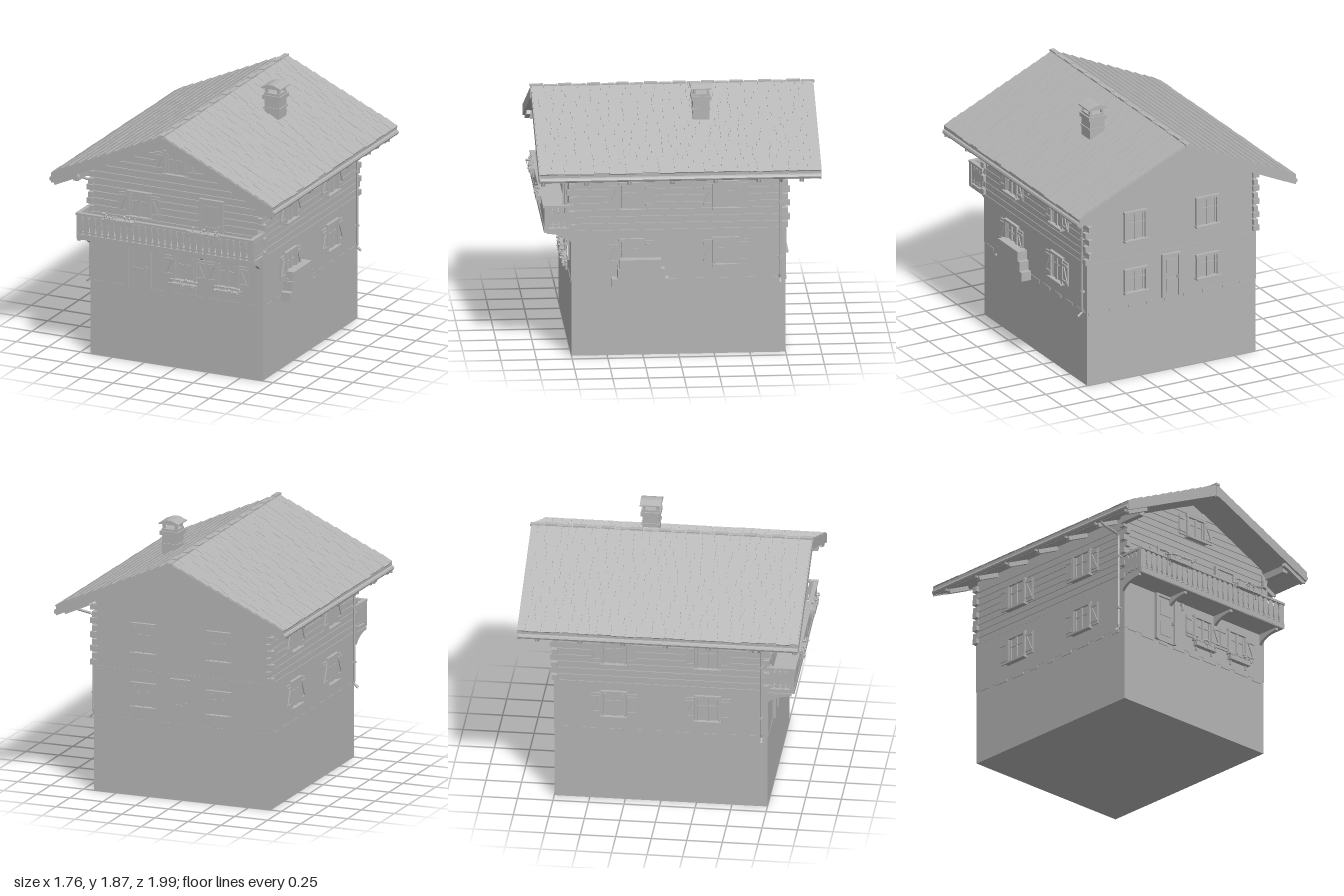
import * as THREE from 'three';
import { mergeGeometries } from 'three/addons/utils/BufferGeometryUtils.js';

const grey = new THREE.MeshStandardMaterial({ color: 0xb4b4b4, flatShading: true });
grey.name = 'plainGrey';

let seed = 7;
const rnd = () => (seed = (seed * 16807) % 2147483647) / 2147483647;

const RIDGE = 1.768, EAVE_X = 0.86, SLOPE = 0.455, UNDER = 1.70;

function add(parent, name, geo, x = 0, y = 0, z = 0) {
  const m = new THREE.Mesh(geo, grey);
  m.name = name;
  m.position.set(x, y, z);
  parent.add(m);
  return m;
}
const box = (p, name, w, h, d, x, y, z) => add(p, name, new THREE.BoxGeometry(w, h, d), x, y, z);
function group(parent, name, x = 0, y = 0, z = 0, ry = 0) {
  const g = new THREE.Group();
  g.name = name;
  g.position.set(x, y, z);
  g.rotation.y = ry;
  parent.add(g);
  return g;
}
function prism(points, depth) {
  const s = new THREE.Shape(points.map(([x, y]) => new THREE.Vector2(x, y)));
  return new THREE.ExtrudeGeometry(s, { depth, bevelEnabled: false, curveSegments: 6 });
}

// Window facing +z, centred on its group; optional shutters laid against the wall
function windowUnit(parent, name, x, y, z, ry, shutters, h = 0.18) {
  const g = group(parent, name, x, y, z, ry), w = 0.17;
  box(g, 'pane', w, h, 0.006, 0, 0, 0.003);
  for (const s of [-1, 1]) {
    box(g, 'frameSide', 0.018, h, 0.024, s * (w / 2 - 0.003), 0, 0.01);
    box(g, 'sash', 0.012, h - 0.03, 0.014, s * 0.062, 0, 0.008);
  }
  box(g, 'frameTop', w + 0.016, 0.018, 0.026, 0, h / 2, 0.01);
  box(g, 'sill', w + 0.022, 0.014, 0.04, 0, -h / 2, 0.018);
  box(g, 'mullion', 0.016, h, 0.016, 0, 0, 0.008);
  box(g, 'glazingBar', w, 0.007, 0.012, 0, 0.025, 0.007);
  if (!shutters) return;
  for (const s of [-1, 1]) {
    const sh = group(g, 'shutter', s * 0.127, 0, 0.008);
    box(sh, 'leaf', 0.066, h - 0.02, 0.01, 0, 0, 0);
    for (const b of [-1, 1]) box(sh, 'batten', 0.062, 0.014, 0.01, 0, b * (h / 2 - 0.035), 0.008);
    box(sh, 'brace', 0.012, h - 0.06, 0.008, 0, 0, 0.008).rotation.z = s * 0.42;
  }
}

function door(parent, name, x, y, z, ry, w, h) {
  const g = group(parent, name, x, y, z, ry);
  box(g, 'leaf', w, h, 0.012, 0, h / 2, 0.004);
  for (const s of [-1, 1]) box(g, 'jamb', 0.018, h, 0.028, s * w / 2, h / 2, 0.01);
  box(g, 'lintel', w + 0.018, 0.018, 0.028, 0, h - 0.005, 0.01);
  for (const p of [0.28, 0.72]) box(g, 'panel', w * 0.6, h * 0.3, 0.008, 0, h * p, 0.011);
  box(g, 'handle', 0.008, 0.025, 0.02, w * 0.36, h * 0.45, 0.018);
}

// Planter with stems, leaves and blossoms
function planter(parent, x, y, z, w = 0.19) {
  const g = group(parent, 'planter', x, y, z);
  box(g, 'trough', w, 0.035, 0.035, 0, 0, 0);
  for (const s of [-1, 1]) box(g, 'hook', 0.008, 0.06, 0.012, s * w * 0.38, -0.02, -0.012);
  const parts = [];
  for (let i = 0; i < 18; i++) {
    const px = (rnd() - 0.5) * (w + 0.05), py = 0.005 + rnd() * 0.045, pz = (rnd() - 0.3) * 0.04;
    parts.push(new THREE.IcosahedronGeometry(0.006 + rnd() * 0.005, 0).translate(px, py, pz));
    parts.push(new THREE.BoxGeometry(0.003, 0.035, 0.003).rotateZ(rnd() - 0.5).translate(px, py - 0.015, pz));
  }
  add(g, 'flowers', mergeGeometries(parts.map(p => p.toNonIndexed ? (p.index ? p.toNonIndexed() : p) : p)));
}

function buildWalls(house) {
  box(house, 'basement', 1.34, 0.55, 1.5, 0, 0.275, 0);
  box(house, 'groundFloor', 1.344, 0.36, 1.506, 0, 0.73, 0);
  const eaveY = UNDER - SLOPE * 0.66;
  add(house, 'upperFloor', prism([[-0.66, 0.91], [0.66, 0.91], [0.66, eaveY], [0, UNDER], [-0.66, eaveY]], 1.495), 0, 0, -0.75);
  // Uneven stones along the foot of the plaster
  for (let i = 0; i < 9; i++) {
    const t = -0.6 + i * 0.15, drop = 0.012 + rnd() * 0.018;
    for (const s of [-1, 1]) {
      box(house, 'footStone', 0.06 + rnd() * 0.07, drop, 0.012, t, 0.552 - drop / 2, s * 0.75);
      box(house, 'footStone', 0.012, drop, 0.06 + rnd() * 0.07, s * 0.67, 0.552 - drop / 2, t * 1.1);
    }
  }
  // Log courses on the front and the sides, with crossing ends at the corners
  const logs = group(house, 'logWalls'), pitch = 0.05;
  for (let i = 0; i < 15; i++) {
    const y0 = 0.912 + i * pitch, y1 = y0 + 0.046;
    const half = y => Math.min(0.67, Math.max(0.005, (UNDER - y) / SLOPE));
    add(logs, 'frontLog', prism([[-half(y0), y0], [half(y0), y0], [half(y1), y1], [-half(y1), y1]], 0.02), 0, 0, 0.736);
    if (i > 8) continue;
    for (const s of [-1, 1]) {
      box(logs, 'sideLog', 0.02, 0.046, 1.5, s * 0.66, y0 + 0.023, 0);
      for (const e of [-1, 1]) {
        if (i % 2) box(logs, 'sideLogEnd', 0.032, 0.04, 0.05, s * 0.658, y0 + 0.023, e * 0.756);
        else box(logs, 'crossLogEnd', 0.05, 0.04, 0.042, s * 0.668, y0 + 0.023, e * 0.746);
      }
    }
  }
}

function buildRoof(house) {
  const roof = group(house, 'roof'), drop = SLOPE * EAVE_X;
  add(roof, 'roofSlab', prism([[-EAVE_X, RIDGE - drop], [-EAVE_X, UNDER - drop + 0.006], [0, UNDER],
    [EAVE_X, UNDER - drop + 0.006], [EAVE_X, RIDGE - drop], [0, RIDGE]], 1.96), 0, 0, -0.98);
  const angle = Math.atan(SLOPE), len = EAVE_X / Math.cos(angle), rows = 12, step = len / rows;
  for (const s of [-1, 1]) {
    // Overlapping rows of split shingles with ragged lower edges
    const parts = [];
    for (let r = 0; r < rows; r++) {
      for (let z = -0.985; z < 0.98;) {
        let w = 0.05 + rnd() * 0.07;
        if (z + w > 0.95) w = 0.985 - z;
        const l = step + 0.012 + rnd() * 0.012, t = 0.007 + rnd() * 0.004;
        const b = new THREE.BoxGeometry(l, t, w - 0.003);
        b.rotateZ(-0.09).translate(r * step + l / 2 - (r === rows - 1 ? 0.014 : 0), 0.006, z + w / 2);
        parts.push(b);
        z += w;
      }
    }
    const geo = mergeGeometries(parts);
    geo.rotateZ(-angle);
    if (s < 0) geo.rotateY(Math.PI);
    add(roof, 'shingles', geo, 0, RIDGE, 0);
    // Barge boards on both gables
    for (const e of [-1, 1]) {
      const top = RIDGE + 0.006, x = s * EAVE_X;
      const pts = [[0, top], [x, top - drop], [x, UNDER - drop], [0, UNDER - 0.004]];
      add(roof, 'bargeBoard', prism(pts, 0.016), 0, 0, e * 0.982 - 0.008);
    }
    // Gutter, its brackets and rafter tails
    const gutter = new THREE.CylinderGeometry(0.018, 0.018, 1.97, 8).rotateX(Math.PI / 2);
    add(roof, 'gutter', gutter, s * 0.86, 1.335, 0);
    for (let i = 0; i < 7; i++) {
      const z = 0.96 - i * 0.302;
      box(roof, 'gutterBracket', 0.03, 0.03, 0.014, s * 0.855, 1.318, z);
      box(roof, 'rafterTail', 0.2, 0.03, 0.03, s * 0.755, UNDER - SLOPE * 0.755 - 0.012, z).rotation.z = -s * angle;
    }
    box(roof, 'eavePurlin', 0.04, 0.05, 0.2, s * 0.69, 1.36, 0.85);
    // Downpipe at opposite corners
    const path = [[0.86, 1.32], [0.84, 1.295], [0.7, 1.27], [0.69, 1.25], [0.69, 0.57], [0.685, 0.55], [0.72, 0.52]]
      .map(([x, y]) => new THREE.Vector3(s * x, y, -s * 0.71));
    const curve = new THREE.CatmullRomCurve3(path, false, 'catmullrom', 0.05);
    add(house, 'downpipe', new THREE.TubeGeometry(curve, 40, 0.009, 6));
    for (const y of [0.7, 1.1]) box(house, 'pipeClip', 0.03, 0.012, 0.026, s * 0.685, y, -s * 0.71);
  }
  box(roof, 'ridgePost', 0.022, 0.08, 0.02, 0, 1.725, 0.985);
  // Ridge caps
  for (let i = 0; i < 20; i++) {
    box(roof, 'ridgeCap', 0.034, 0.016, 0.092, 0, RIDGE + 0.005 + (i % 2) * 0.006, -0.95 + i * 0.1);
  }
  // Chimney
  const c = group(house, 'chimney', 0.313, 0, -0.18);
  box(c, 'shaft', 0.115, 0.3, 0.118, 0, 1.61, 0);
  box(c, 'collar', 0.13, 0.012, 0.13, 0, 1.69, 0);
  box(c, 'crown', 0.142, 0.03, 0.14, 0, 1.77, 0);
  box(c, 'crownTop', 0.12, 0.02, 0.12, 0, 1.79, 0);
  for (const x of [-1, 1]) for (const z of [-1, 1]) box(c, 'capPost', 0.018, 0.05, 0.018, x * 0.046, 1.815, z * 0.046);
  add(c, 'cap', prism([[-0.075, 1.836], [0.075, 1.836], [0.075, 1.844], [0.02, 1.866], [-0.02, 1.866], [-0.075, 1.844]], 0.15), 0, 0, -0.075);
}

function buildBalcony(house) {
  const b = group(house, 'balcony');
  box(b, 'deck', 1.37, 0.03, 0.19, 0, 0.918, 0.845);
  box(b, 'fascia', 1.375, 0.036, 0.016, 0, 0.925, 0.935);
  const s = new THREE.Shape();
  s.moveTo(-0.01, 0);
  s.lineTo(0.01, 0);
  s.quadraticCurveTo(0.032, 0.075, 0.01, 0.15);
  s.lineTo(-0.01, 0.15);
  s.quadraticCurveTo(-0.032, 0.075, -0.01, 0);
  const slat = new THREE.ExtrudeGeometry(s, { depth: 0.01, bevelEnabled: false, curveSegments: 6 });
  box(b, 'topRail', 1.38, 0.016, 0.03, 0, 1.092, 0.935);
  box(b, 'lowRail', 1.37, 0.012, 0.02, 0, 0.955, 0.927);
  for (let i = 0; i < 28; i++) add(b, 'baluster', slat, -0.662 + i * 0.049, 0.94, 0.93);
  for (const e of [-1, 1]) {
    box(b, 'sideTopRail', 0.03, 0.016, 0.19, e * 0.675, 1.092, 0.845);
    box(b, 'sideLowRail', 0.016, 0.012, 0.18, e * 0.675, 0.955, 0.845);
    box(b, 'cornerPost', 0.028, 0.19, 0.028, e * 0.675, 1.005, 0.925);
    for (let i = 0; i < 4; i++) add(b, 'sideBaluster', slat, e * 0.675 - 0.005, 0.94, 0.78 + i * 0.04).rotation.y = Math.PI / 2;
  }
  // Curved timber brackets under the deck
  const k = new THREE.Shape();
  k.moveTo(0, 0.905);
  k.lineTo(0.17, 0.905);
  k.lineTo(0.17, 0.885);
  k.quadraticCurveTo(0.04, 0.88, 0, 0.82);
  const bracket = new THREE.ExtrudeGeometry(k, { depth: 0.022, bevelEnabled: false, curveSegments: 8 });
  for (const x of [-0.66, -0.22, 0.22, 0.66]) add(b, 'bracket', bracket, x - 0.011, 0, 0.75).rotation.y = -Math.PI / 2;
  planter(b, -0.34, 1.085, 0.965, 0.22);
  planter(b, 0.32, 1.085, 0.965, 0.22);
}

export function createModel() {
  const house = new THREE.Group();
  house.name = 'chalet';
  buildWalls(house);
  buildRoof(house);
  buildBalcony(house);

  // Front openings
  windowUnit(house, 'atticWindow', 0, 1.505, 0.756, 0, true, 0.165);
  windowUnit(house, 'balconyWindow', -0.283, 1.16, 0.756, 0, true);
  door(house, 'balconyDoor', 0.278, 0.93, 0.756, 0, 0.17, 0.35);
  door(house, 'frontDoor', -0.287, 0.55, 0.753, 0, 0.175, 0.345);
  for (const x of [0.072, 0.402]) {
    windowUnit(house, 'frontWindow', x, 0.745, 0.753, 0, true);
    planter(house, x, 0.62, 0.785);
  }
  const lamp = group(house, 'wallLamp', -0.135, 0.86, 0.77);
  add(lamp, 'lampShade', new THREE.CylinderGeometry(0.013, 0.008, 0.045, 6), 0, 0, 0.008);
  box(lamp, 'lampArm', 0.01, 0.01, 0.03, 0, 0.025, -0.005);

  // Side and back windows
  for (const y of [1.155, 0.745]) {
    for (const t of [-0.33, 0.33]) {
      for (const s of [-1, 1]) windowUnit(house, 'sideWindow', s * 0.671, y, t, s * Math.PI / 2, true, 0.19);
    }
    for (const x of [-0.28, 0.29]) windowUnit(house, 'backWindow', x, y - 0.015, y > 1 ? -0.75 : -0.753, Math.PI, false, y > 1 ? 0.21 : 0.17);
  }
  door(house, 'backDoor', 0.01, 0.555, -0.753, Math.PI, 0.13, 0.32);

  // Stepped masonry against the side wall
  const steps = group(house, 'sideMasonry', 0.706, 0, 0);
  box(steps, 'lowerStep', 0.08, 0.067, 0.4, 0, 0.5385, 0.27);
  box(steps, 'middleStep', 0.08, 0.07, 0.33, 0, 0.607, 0.265);
  box(steps, 'upperStep', 0.08, 0.07, 0.29, 0, 0.675, 0.27);
  return house;
}
